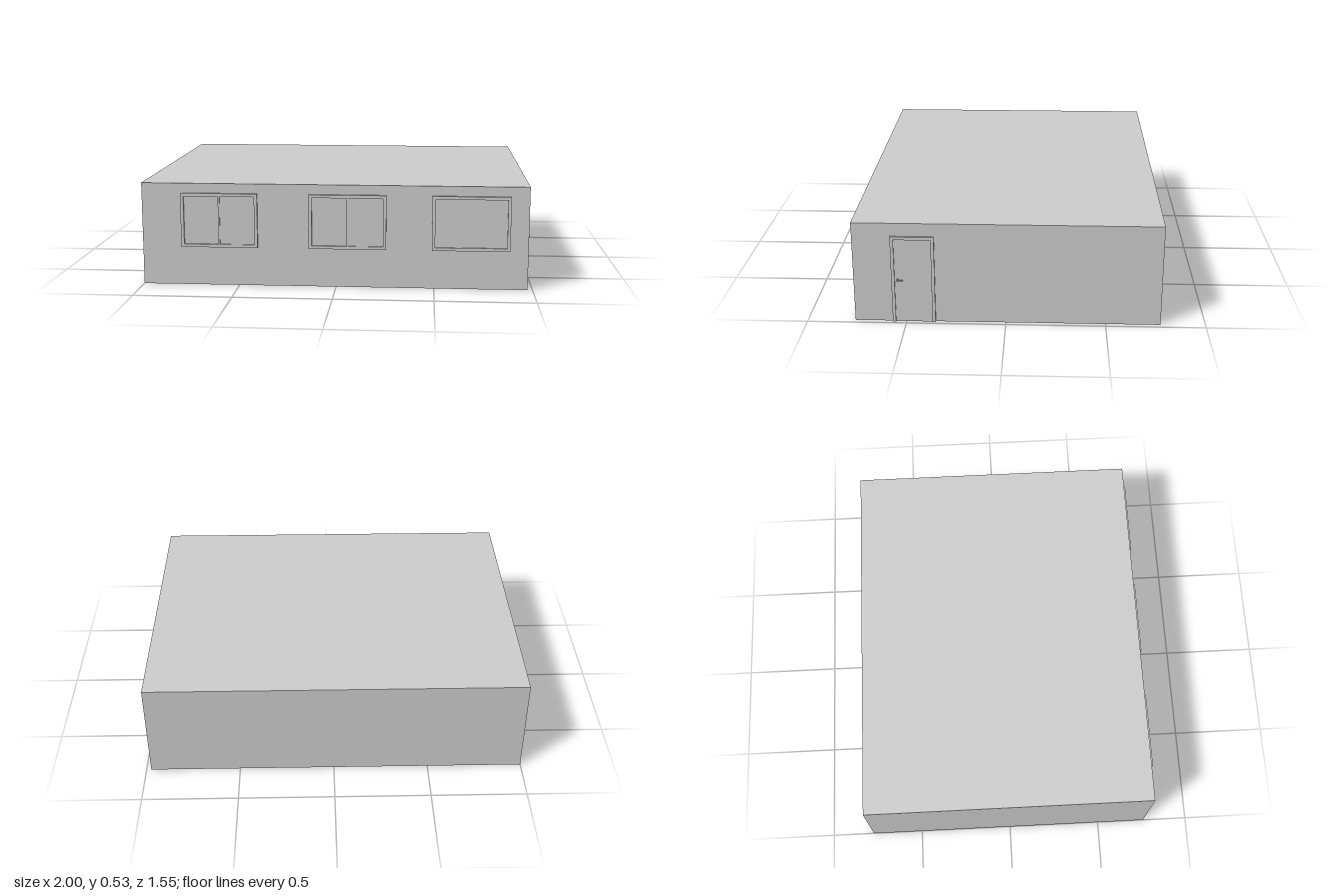
import * as THREE from 'three';

const material = new THREE.MeshStandardMaterial({ color: 0xcccccc });

function box(name, w, h, d, x, y, z) {
  const mesh = new THREE.Mesh(new THREE.BoxGeometry(w, h, d), material);
  mesh.name = name;
  mesh.position.set(x, y, z);
  return mesh;
}

// Rectangular surround, centred on x, standing on y = 0, extruded towards +z
function surround(name, w, h, t, bottom, depth) {
  const shape = new THREE.Shape();
  const x = w / 2, i = w / 2 - t;
  if (bottom) {
    shape.moveTo(-x, 0).lineTo(x, 0).lineTo(x, h).lineTo(-x, h).closePath();
    const hole = new THREE.Path();
    hole.moveTo(-i, t).lineTo(-i, h - t).lineTo(i, h - t).lineTo(i, t).closePath();
    shape.holes.push(hole);
  } else {
    shape.moveTo(-x, 0).lineTo(-i, 0).lineTo(-i, h - t).lineTo(i, h - t)
      .lineTo(i, 0).lineTo(x, 0).lineTo(x, h).lineTo(-x, h).closePath();
  }
  const geometry = new THREE.ExtrudeGeometry(shape, { depth, bevelEnabled: false });
  const mesh = new THREE.Mesh(geometry, material);
  mesh.name = name;
  return mesh;
}

// Window with an outer frame and sliding panes; its back lies on z = 0
function makeWindow(sliding) {
  const g = new THREE.Group();
  g.name = 'window';
  const w = 0.395, h = 0.28, t = 0.016;
  g.add(surround('windowFrame', w, h, t, true, 0.014));
  if (sliding) {
    const paneW = w / 2 - t;
    g.add(box('rearPane', paneW, h - 2 * t, 0.003, -paneW / 2, h / 2, 0.0015));
    g.add(box('frontPane', paneW, h - 2 * t, 0.007, paneW / 2, h / 2, 0.0035));
    g.add(box('meetingStile', 0.008, h - 2 * t, 0.012, 0, h / 2, 0.006));
  } else {
    g.add(box('pane', w - 2 * t, h - 2 * t, 0.005, 0, h / 2, 0.0025));
  }
  return g;
}

// Door with frame, leaf and lever handle; its back lies on z = 0
function makeDoor() {
  const g = new THREE.Group();
  g.name = 'door';
  const w = 0.216, h = 0.462, t = 0.016;
  g.add(surround('doorFrame', w, h, t, false, 0.011));
  g.add(box('doorLeaf', w - 2 * t, h - t - 0.003, 0.004, 0, (h - t - 0.003) / 2, 0.002));
  const spindle = new THREE.Mesh(new THREE.CylinderGeometry(0.0035, 0.0035, 0.022, 12), material);
  spindle.name = 'handleSpindle';
  spindle.rotation.x = Math.PI / 2;
  spindle.position.set(-0.077, 0.233, 0.012);
  g.add(spindle);
  g.add(box('handleLever', 0.035, 0.005, 0.005, -0.065, 0.233, 0.0225));
  return g;
}

export function createModel() {
  const model = new THREE.Group();
  model.name = 'building';

  // Plain flat-roofed block
  model.add(box('walls', 1.975, 0.53, 1.535, -0.0125, 0.265, -0.0075));

  // Front windows
  [[-0.6, true], [0.058, true], [0.685, false]].forEach(([x, sliding]) => {
    const win = makeWindow(sliding);
    win.position.set(x, 0.2, 0.76);
    model.add(win);
  });

  // Side door
  const door = makeDoor();
  door.rotation.y = Math.PI / 2;
  door.position.set(0.975, 0, 0.461);
  model.add(door);

  return model;
}
